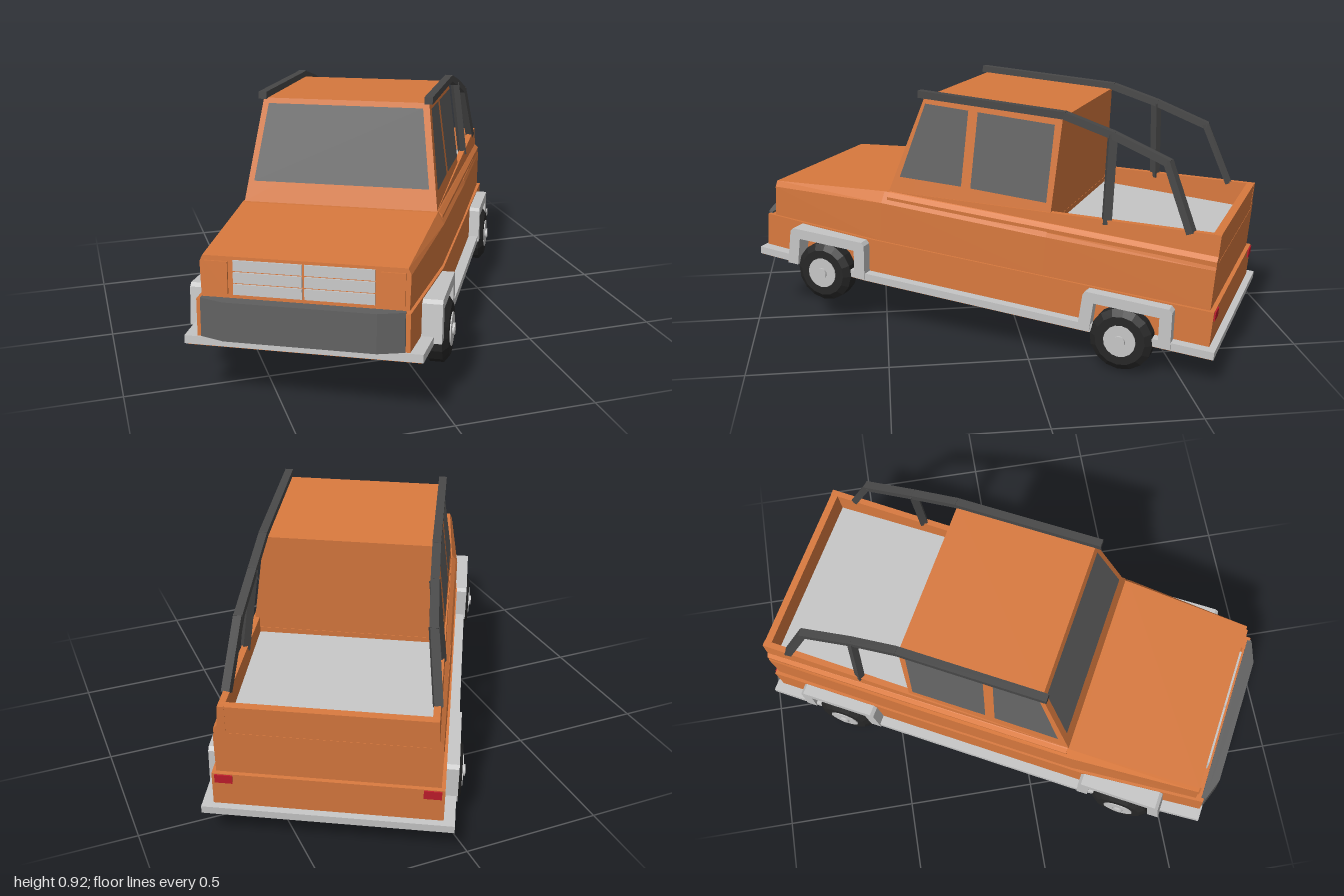
import * as THREE from 'three';

const mat = (name, color) => Object.assign(new THREE.MeshStandardMaterial({ color }), { name });

// Faceted copy of a geometry
function facet(geo) {
  const g = geo.index ? geo.toNonIndexed() : geo;
  g.computeVertexNormals();
  return g;
}

// Skin over rings of [x, y] points (counter-clockwise from the front), sections run rear to front
function loft(sections) {
  const n = sections[0].ring.length, pos = [], idx = [];
  for (const { z, ring } of sections) for (const [x, y] of ring) pos.push(x, y, z);
  for (let i = 0; i < sections.length - 1; i++) {
    for (let j = 0; j < n; j++) {
      const a = i * n + j, b = i * n + (j + 1) % n;
      idx.push(a, b, b + n, a, b + n, a + n);
    }
  }
  const last = (sections.length - 1) * n;
  for (let j = 1; j < n - 1; j++) idx.push(0, j + 1, j, last, last + j, last + j + 1);
  const g = new THREE.BufferGeometry();
  g.setAttribute('position', new THREE.Float32BufferAttribute(pos, 3));
  g.setIndex(idx);
  return facet(g);
}

// Section symmetric about x = 0, given its +x half from bottom to top
const sym = (z, half) => ({ z, ring: [...half, ...half.map(([x, y]) => [-x, y]).reverse()] });

// Four-cornered thin pane
function pane(corners) {
  const g = new THREE.BufferGeometry();
  g.setAttribute('position', new THREE.Float32BufferAttribute(corners.flat(), 3));
  g.setIndex([0, 1, 2, 0, 2, 3]);
  return facet(g);
}

export function createModel() {
  const orange = mat('orange paint', 0xd8793e);
  const grey = mat('light grey trim', 0xc6c6c6);
  const glass = mat('dark glass', 0x626262);
  glass.side = THREE.DoubleSide;
  const bumperGrey = mat('bumper grey', 0x606060);
  const rackGrey = mat('rack charcoal', 0x484848);
  const rubber = mat('tyre rubber', 0x262626);
  const red = mat('tail light red', 0xc01c2c);

  const truck = new THREE.Group();
  truck.name = 'truck';
  const add = (parent, name, geo, material, x = 0, y = 0, z = 0) => {
    const m = new THREE.Mesh(geo, material);
    m.name = name;
    m.position.set(x, y, z);
    parent.add(m);
    return m;
  };
  const box = (w, h, d) => new THREE.BoxGeometry(w, h, d);
  const slab = (y0, y1, rear, mid, front, zr, zf) => loft([
    sym(zr, [[rear, y0], [rear, y1]]),
    sym(0.42, [[mid, y0], [mid, y1]]),
    sym(zf, [[front, y0], [front, y1]]),
  ]);

  // Lower body, skirt and floor pan
  add(truck, 'lowerBody', slab(0.01, 0.155, 0.387, 0.388, 0.35, -0.885, 0.905), orange);
  add(truck, 'skirt', slab(0, 0.028, 0.425, 0.425, 0.393, -0.91, 0.912), grey);
  add(truck, 'floorPan', slab(-0.004, 0.004, 0.418, 0.418, 0.386, -0.903, 0.905), orange);

  // Upper body with sloping hood, and the lower bed base behind the cab
  add(truck, 'upperBody', loft([
    sym(-0.265, [[0.38, 0.155], [0.382, 0.3], [0.362, 0.342]]),
    sym(0.39, [[0.38, 0.155], [0.382, 0.305], [0.358, 0.345]]),
    sym(0.875, [[0.342, 0.155], [0.346, 0.272], [0.336, 0.294]]),
  ]), orange);
  add(truck, 'bedBase', loft([
    sym(-0.87, [[0.374, 0.155], [0.376, 0.3], [0.372, 0.316]]),
    sym(-0.265, [[0.38, 0.155], [0.382, 0.3], [0.376, 0.316]]),
  ]), orange);
  add(truck, 'bedFloor', box(0.68, 0.008, 0.58), grey, 0, 0.318, -0.553);
  add(truck, 'tailgate', box(0.7, 0.106, 0.028), orange, 0, 0.366, -0.855);

  // Cab
  add(truck, 'cab', loft([
    sym(-0.265, [[0.355, 0.343], [0.305, 0.72]]),
    sym(0.27, [[0.355, 0.343], [0.305, 0.713]]),
    sym(0.374, [[0.355, 0.343], [0.355, 0.345]]),
  ]), orange);
  const shield = (side, t) => [
    side * (0.332 - 0.05 * t), 0.346 + 0.367 * t, 0.379 - 0.104 * t];
  add(truck, 'windshield', pane([
    shield(-1, 0.2), shield(1, 0.2), shield(1, 0.95), shield(-1, 0.95)]), glass);

  // Grille slats
  for (const x of [-0.118, 0.118]) {
    for (const y of [0.186, 0.226, 0.266]) {
      add(truck, 'grilleSlat', box(0.228, 0.035, 0.014), grey, x, y, 0.876);
    }
  }

  // Front bumper with swept-back ends
  const plan = [[-0.335, 0.895], [0.335, 0.895], [0.335, 0.912], [0.25, 0.942],
    [-0.25, 0.942], [-0.335, 0.912]];
  const bumper = new THREE.ExtrudeGeometry(
    new THREE.Shape(plan.map(([x, z]) => new THREE.Vector2(x, -z))),
    { depth: 0.132, bevelEnabled: false });
  bumper.rotateX(-Math.PI / 2);
  add(truck, 'frontBumper', bumper, bumperGrey, 0, 0.03, 0);

  // Wheel arch flare, a squared hoop
  const arch = [[-0.168, 0.005], [-0.16, 0.138], [-0.148, 0.15], [0.148, 0.15], [0.16, 0.138],
    [0.168, 0.005], [0.124, 0.005], [0.118, 0.112], [-0.118, 0.112], [-0.124, 0.005]];
  const flareGeo = new THREE.ExtrudeGeometry(
    new THREE.Shape(arch.map(([x, y]) => new THREE.Vector2(x, y))),
    { depth: 0.09, bevelEnabled: false });
  flareGeo.rotateY(-Math.PI / 2);

  // Tyre, hub and cap
  const tyreGeo = facet(new THREE.LatheGeometry(
    [[0, -0.042], [0.09, -0.042], [0.114, -0.024], [0.114, 0.024], [0.09, 0.042], [0, 0.042]]
      .map(([r, y]) => new THREE.Vector2(r, y)), 16));
  tyreGeo.rotateZ(-Math.PI / 2);
  const disc = (r, d) => new THREE.CylinderGeometry(r, r, d, 16).rotateZ(-Math.PI / 2);
  const hubGeo = disc(0.058, 0.012), capGeo = disc(0.021, 0.016);

  // Everything that is mirrored left and right
  const sideX = (y) => 0.359 - (y - 0.343) * 0.1333;
  const onSide = ([z, y]) => [sideX(y), y, z];
  const windows = {
    frontSideWindow: [[0.333, 0.41], [0.085, 0.416], [0.09, 0.692], [0.262, 0.692]],
    rearSideWindow: [[0.048, 0.416], [-0.245, 0.416], [-0.24, 0.692], [0.053, 0.692]],
  };
  const wallRing = (z, x, top) => ({ z, ring: [[x - 0.04, 0.312], [x, 0.312], [x + 0.001, 0.33],
    [x - 0.013, 0.345], [x - 0.017, top], [x - 0.04, top]] });
  const rack = [[0.305, 0.724, 0.285], [0.305, 0.73, -0.27], [0.309, 0.69, -0.45],
    [0.318, 0.628, -0.655], [0.346, 0.41, -0.765]];

  for (const s of [1, -1]) {
    const side = new THREE.Group();
    side.name = s > 0 ? 'leftSide' : 'rightSide';
    side.scale.x = s;

    // Rail rising from the cab sill to the tailgate
    add(side, 'bedRail', loft([wallRing(-0.87, 0.373, 0.42), wallRing(0.37, 0.373, 0.348)]), orange);
    for (const [name, pts] of Object.entries(windows)) add(side, name, pane(pts.map(onSide)), glass);

    // Roof rail running down into the bed hoop, with one post
    const bar = (a, b, name) => {
      const p = new THREE.Vector3(...a), q = new THREE.Vector3(...b);
      const m = new THREE.Mesh(box(0.03, 0.026, p.distanceTo(q) + 0.012), rackGrey);
      m.name = name;
      m.position.copy(p).lerp(q, 0.5);
      m.lookAt(q);
      side.add(m);
    };
    for (let i = 0; i < rack.length - 1; i++) bar(rack[i], rack[i + 1], i ? 'bedHoop' : 'roofRail');
    bar([0.309, 0.685, -0.45], [0.345, 0.385, -0.47], 'hoopPost');

    // Wheels and flares
    for (const z of [0.6, -0.585]) {
      const wheel = new THREE.Group();
      wheel.name = z > 0 ? 'frontWheel' : 'rearWheel';
      wheel.position.set(0.4, 0, z);
      add(wheel, 'tyre', tyreGeo, rubber);
      add(wheel, 'hub', hubGeo, grey, 0.04);
      add(wheel, 'hubCap', capGeo, grey, 0.046);
      side.add(wheel);
      add(side, 'archFlare', flareGeo, grey, 0.43, 0, z - 0.008);
    }

    // Lamp panel beside the grille and tail light
    add(side, 'lampPanel', box(0.078, 0.108, 0.012), orange, 0.29, 0.224, 0.876);
    add(side, 'tailLight', box(0.06, 0.032, 0.008), red, 0.347, 0.136, -0.886);
    truck.add(side);
  }

  // Parked at an angle with the nose up
  truck.rotation.set(-0.073, -0.503, 0.013, 'YXZ');
  truck.position.set(-0.015, 0.165, 0.003);
  const model = new THREE.Group();
  model.name = 'pickupTruck';
  model.add(truck);
  return model;
}
